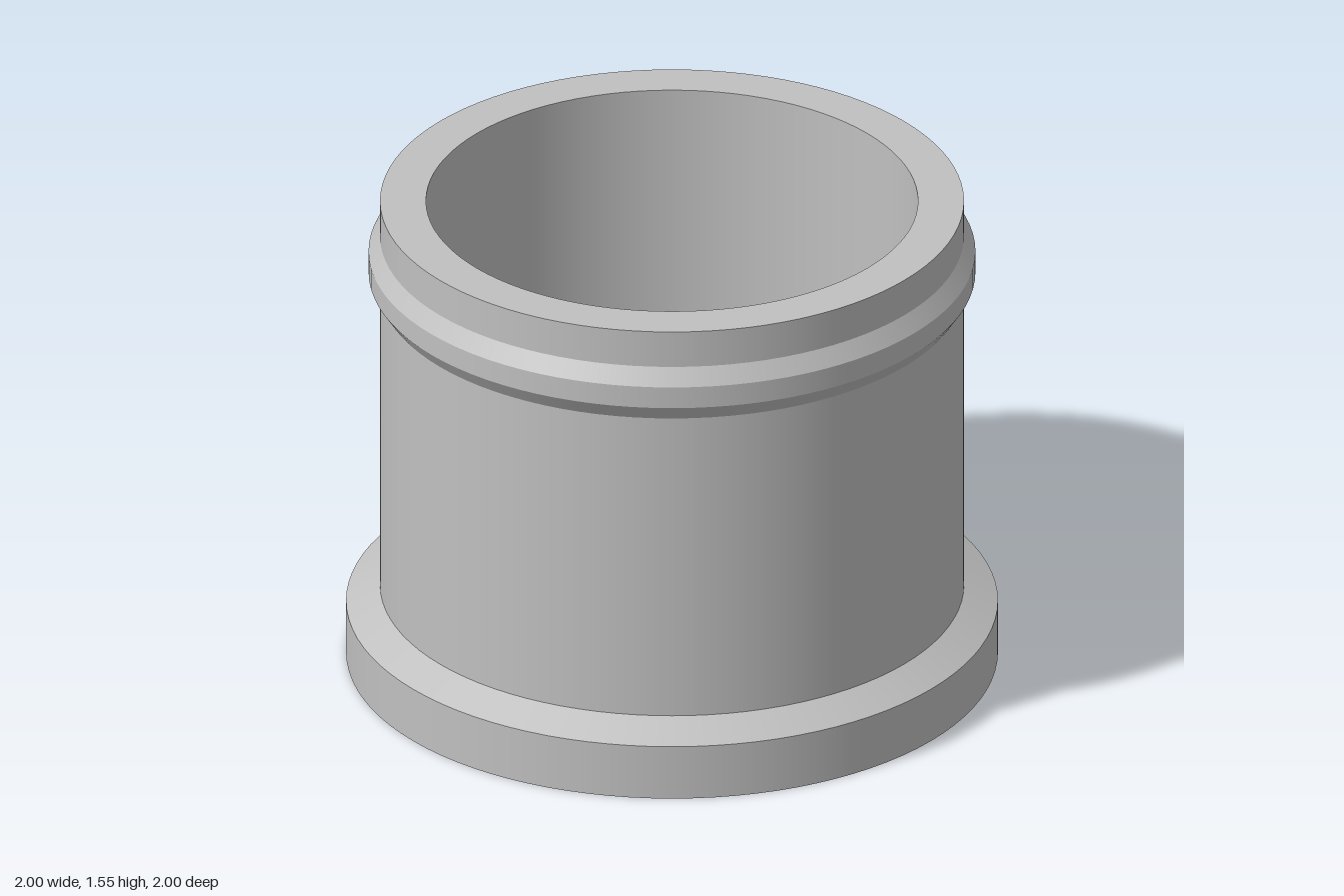
import * as THREE from 'three';
import { mergeGeometries } from 'three/addons/utils/BufferGeometryUtils.js';

const SEGMENTS = 96;

// Turns a profile of [radius, y] points; smooth around the axis, sharp at each profile corner.
function turned(profile) {
  const bands = [];
  for (let i = 0; i < profile.length - 1; i++) {
    const pair = [profile[i], profile[i + 1]].map(([r, y]) => new THREE.Vector2(r, y));
    bands.push(new THREE.LatheGeometry(pair, SEGMENTS));
  }
  return mergeGeometries(bands);
}

export function createModel() {
  const group = new THREE.Group();
  group.name = 'flangedSleeve';

  const metal = new THREE.MeshStandardMaterial({ color: 0xc0c0c0 });
  metal.name = 'light grey metal';

  const bore = 0.755, wall = 0.896, ring = 0.931, flange = 1;
  const height = 1.55;

  // Profiles run up the outside, inward over the top and down the inside.
  const parts = {
    baseFlange: [[bore, 0], [flange, 0], [flange, 0.178], [wall, 0.232]],
    sleeveWall: [[wall, 0.232], [wall, 1.253]],
    raisedRing: [[wall, 1.253], [ring, 1.306], [ring, 1.377], [wall, 1.43]],
    topCollar: [[wall, 1.43], [wall, height], [bore, height]],
    innerBore: [[bore, height], [bore, 0]],
  };

  for (const [name, profile] of Object.entries(parts)) {
    const mesh = new THREE.Mesh(turned(profile), metal);
    mesh.name = name;
    group.add(mesh);
  }
  return group;
}
